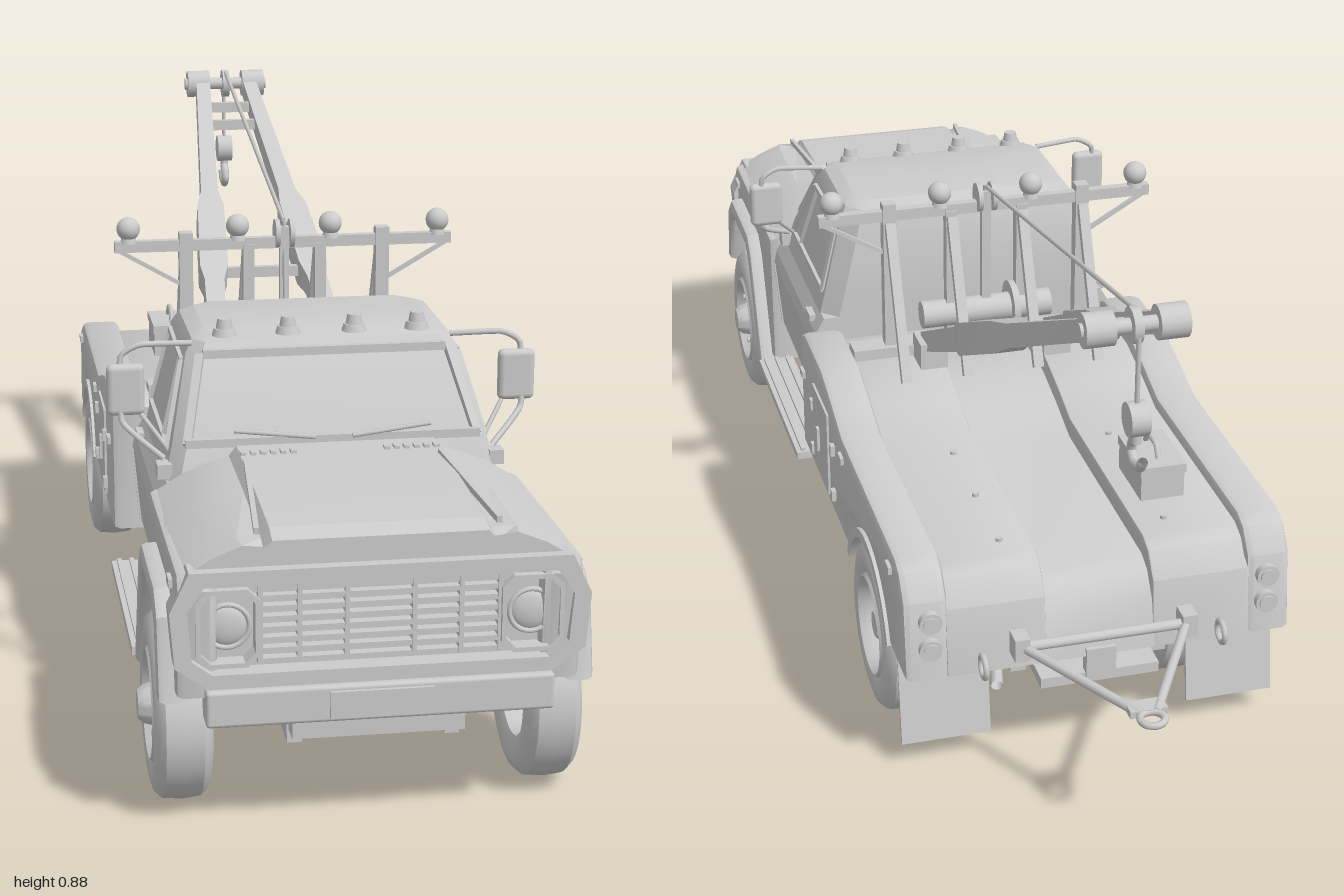
import * as THREE from 'three';
import { RoundedBoxGeometry } from 'three/addons/geometries/RoundedBoxGeometry.js';
import { toCreasedNormals } from 'three/addons/utils/BufferGeometryUtils.js';

const mat = new THREE.MeshStandardMaterial({ color: 0xcccccc, side: THREE.DoubleSide });
const V = (p) => new THREE.Vector3(...p);
const SIDES = [-1, 1];

export function createModel() {
  const root = new THREE.Group();
  root.name = 'towTruck';

  const add = (name, geo, pos = [0, 0, 0], parent = root) => {
    const m = new THREE.Mesh(geo, mat);
    m.name = name;
    m.position.set(...pos);
    parent.add(m);
    return m;
  };
  const box = (name, w, h, d, x, y, z, parent) => add(name, new THREE.BoxGeometry(w, h, d), [x, y, z], parent);
  // round rod or square beam between two points
  const rod = (name, a, b, r, seg = 10) => {
    const d = V(b).sub(V(a));
    const m = add(name, new THREE.CylinderGeometry(r, r, d.length(), seg), V(a).addScaledVector(d, 0.5).toArray());
    m.quaternion.setFromUnitVectors(new THREE.Vector3(0, 1, 0), d.normalize());
    return m;
  };
  const beam = (name, a, b, w, h) => {
    const m = add(name, new THREE.BoxGeometry(w, h, V(a).distanceTo(V(b))), V(a).lerp(V(b), 0.5).toArray());
    m.lookAt(V(b));
    return m;
  };
  const tube = (name, pts, r) => add(name, new THREE.TubeGeometry(new THREE.CatmullRomCurve3(pts.map(V), false, 'catmullrom', 0.2), 32, r, 8));
  const shapeOf = (pts) => new THREE.Shape(pts.map((p) => new THREE.Vector2(p[0], p[1])));
  // (z, y) outline extruded across x
  const slab = (name, shape, x0, x1, bevel = 0) => {
    const g = new THREE.ExtrudeGeometry(shape, { depth: x1 - x0 - 2 * bevel, bevelEnabled: bevel > 0, bevelSize: bevel, bevelThickness: bevel, bevelOffset: -bevel, bevelSegments: 2, curveSegments: 20 });
    g.rotateY(-Math.PI / 2).translate(x1 - bevel, 0, 0);
    return add(name, toCreasedNormals(g, 0.6));
  };
  // (x, y) outline extruded forward along z
  const plate = (name, shape, z, depth) => add(name, new THREE.ExtrudeGeometry(shape, { depth, bevelEnabled: false }), [0, 0, z]);
  // closed skin through rings of equal point count, capped, turned outward
  const loft = (name, rings, crease = 0.5) => {
    const n = rings[0].length, tris = [];
    for (let i = 0; i < rings.length - 1; i++) for (let j = 0; j < n; j++) {
      const k = (j + 1) % n, a = rings[i][j], b = rings[i][k], c = rings[i + 1][k], d = rings[i + 1][j];
      tris.push([a, b, c], [a, c, d]);
    }
    [rings[0], rings[rings.length - 1]].forEach((r, e) => {
      const c = [0, 1, 2].map((q) => r.reduce((s, p) => s + p[q], 0) / n);
      for (let j = 0; j < n; j++) tris.push(e ? [r[j], r[(j + 1) % n], c] : [r[(j + 1) % n], r[j], c]);
    });
    const vol = tris.reduce((s, t) => s + V(t[0]).dot(V(t[1]).cross(V(t[2]))), 0);
    const g = new THREE.BufferGeometry();
    g.setAttribute('position', new THREE.Float32BufferAttribute(tris.map((t) => (vol < 0 ? [t[0], t[2], t[1]] : t)).flat(2), 3));
    return add(name, toCreasedNormals(g, crease));
  };
  const mirrored = (half) => [...half, ...half.slice().reverse().map(([x, y]) => [-x, y])];
  const section = (half, z) => mirrored(half).map(([x, y]) => [x, y, z]);

  // Cab: lower body, then greenhouse narrowing to the roof
  const door = [[0.25, 0.15], [0.28, 0.24], [0.292, 0.37], [0.287, 0.395], [0.27, 0.425]];
  loft('cabLower', [0.17, 0.6].map((z) => section(door, z)), 0.15);
  const cabRing = (y, w, zf, zb) => [[-w, zb + 0.03], [-w + 0.03, zb], [w - 0.03, zb], [w, zb + 0.03], [w, zf - 0.03], [w - 0.02, zf], [-w + 0.02, zf], [-w, zf - 0.03]].map(([x, z]) => [x, y, z]);
  loft('cabUpper', [[0.42, 0.272, 0.57, 0.17], [0.485, 0.256, 0.548, 0.17], [0.605, 0.225, 0.462, 0.182], [0.626, 0.213, 0.445, 0.192], [0.637, 0.19, 0.41, 0.215]].map((a) => cabRing(...a)), 0.35);
  beam('windshieldHeader', [-0.2, 0.611, 0.462], [0.2, 0.611, 0.462], 0.012, 0.014);
  beam('cowl', [-0.24, 0.488, 0.552], [0.24, 0.488, 0.552], 0.012, 0.014);
  for (const s of SIDES) {
    const P = (y, z) => [s * (0.256 - (y - 0.485) * 0.258), y, z];
    beam('windshieldPillar', [s * 0.236, 0.485, 0.55], [s * 0.205, 0.61, 0.462], 0.014, 0.01);
    const win = [P(0.465, 0.49), P(0.59, 0.42), P(0.595, 0.225), P(0.465, 0.215)];
    win.forEach((p, i) => beam('doorWindowFrame', p, win[(i + 1) % 4], 0.01, 0.01));
    beam('ventWindowBar', P(0.465, 0.43), P(0.592, 0.4), 0.008, 0.008);
    box('doorHandle', 0.012, 0.012, 0.04, s * 0.284, 0.41, 0.23);
    for (const z of [0.19, 0.56]) beam('doorSeam', [s * 0.281, 0.24, z], [s * 0.293, 0.37, z], 0.004, 0.004);
    rod('wiper', [s * 0.03, 0.493, 0.56], [s * 0.16, 0.505, 0.548], 0.004, 6);
    // mirrors on looped brackets
    add('mirror', new RoundedBoxGeometry(0.062, 0.086, 0.022, 2, 0.01), [s * 0.325, 0.552, 0.445]);
    tube('mirrorBracket', [[s * 0.215, 0.622, 0.43], [s * 0.3, 0.625, 0.44], [s * 0.332, 0.605, 0.44], [s * 0.332, 0.5, 0.455], [s * 0.27, 0.455, 0.52]], 0.005);
    rod('mirrorBrace', [s * 0.3, 0.51, 0.45], [s * 0.255, 0.455, 0.5], 0.004, 6);
    box('mirrorFoot', 0.024, 0.024, 0.03, s * 0.272, 0.44, 0.53);
    // running board with ribs and hangers
    box('runningBoard', 0.07, 0.014, 0.41, s * 0.297, 0.147, 0.365);
    for (const x of [0.275, 0.297, 0.319]) box('runningBoardRib', 0.008, 0.006, 0.4, s * x, 0.157, 0.365);
    for (const z of [0.22, 0.5]) box('runningBoardHanger', 0.16, 0.012, 0.02, s * 0.2, 0.145, z);
  }
  for (const x of [-0.16, -0.055, 0.055, 0.16]) {
    add('roofLightBase', new THREE.CylinderGeometry(0.017, 0.021, 0.012, 14), [x, 0.638, 0.425]);
    add('roofLight', new THREE.CylinderGeometry(0.011, 0.014, 0.016, 14), [x, 0.652, 0.425]);
  }

  // Hood and fenders
  const hood = (w, t) => [[w, 0.39], [w + 0.005, 0.42], [w - 0.035, 0.445], [w - 0.08, 0.463], [0.172, t - 0.016], [0.16, t]];
  loft('hood', [[0.57, 0.282, 0.487], [0.75, 0.29, 0.486], [0.94, 0.288, 0.478], [0.972, 0.283, 0.468]].map(([z, w, t]) => section(hood(w, t), z)), 0.2);
  for (const s of SIDES) {
    beam('hoodRidge', [s * 0.155, 0.488, 0.65], [s * 0.18, 0.476, 0.95], 0.008, 0.01);
    for (let i = 0; i < 6; i++) box('hoodVent', 0.009, 0.005, 0.016, s * (0.075 + i * 0.016), 0.489, 0.615);
    const arch = [[0.94, 0.22], [0.915, 0.32], [0.885, 0.345], [0.715, 0.345], [0.69, 0.32], [0.61, 0.14]];
    const fender = shapeOf([[0.57, 0.15], [0.57, 0.42], [0.97, 0.425], [0.985, 0.4], [0.97, 0.23], ...arch]);
    const a = s < 0 ? -0.302 : 0.24;
    slab('frontFender', fender, a, a + 0.062, 0.012);
    const outer = [[0.575, 0.135], [0.665, 0.345], [0.7, 0.378], [0.895, 0.378], [0.935, 0.345], [0.962, 0.22]];
    const b = s < 0 ? -0.328 : 0.283;
    slab('fenderFlare', shapeOf([...outer, ...arch]), b, b + 0.045, 0.01);
  }
  box('engineBay', 0.38, 0.2, 0.36, 0, 0.3, 0.77);

  // Nose: framed grille, headlights, bumper
  const nose = shapeOf(mirrored([[0.255, 0.25], [0.305, 0.285], [0.312, 0.37], [0.283, 0.43]]));
  nose.holes.push(shapeOf(mirrored([[0.25, 0.272], [0.28, 0.295], [0.286, 0.37], [0.262, 0.407]])));
  plate('noseFrame', nose, 0.945, 0.045);
  plate('grilleBack', shapeOf(mirrored([[0.25, 0.265], [0.288, 0.29], [0.292, 0.37], [0.265, 0.412]])), 0.945, 0.012);
  for (let i = 0; i < 8; i++) box('grilleBar', 0.36, 0.008, 0.016, 0, 0.285 + i * 0.0162, 0.968);
  for (const x of [-0.178, -0.12, -0.05, 0.05, 0.12, 0.178]) box('grilleUpright', 0.007, 0.122, 0.02, x, 0.342, 0.968);
  const lens = new THREE.SphereGeometry(0.032, 20, 8, 0, Math.PI * 2, 0, Math.PI / 2).rotateX(Math.PI / 2).scale(1, 1, 0.35);
  for (const s of SIDES) {
    const oct = (w, h, c) => [[-w, c - h], [c - w, -h], [w - c, -h], [w, c - h], [w, h - c], [w - c, h], [c - w, h], [-w, h - c]].map(([x, y]) => [x + s * 0.226, y + 0.34]);
    const bezel = shapeOf(oct(0.047, 0.06, 0.018));
    bezel.holes.push(shapeOf(oct(0.04, 0.053, 0.015)));
    plate('headlightBezel', bezel, 0.955, 0.03);
    add('headlightRing', new THREE.TorusGeometry(0.033, 0.004, 8, 24), [s * 0.226, 0.34, 0.97]);
    add('headlight', lens, [s * 0.226, 0.34, 0.965]);
    box('sideMarker', 0.012, 0.014, 0.03, s * 0.302, 0.4, 0.93);
  }
  add('frontBumper', new RoundedBoxGeometry(0.52, 0.057, 0.05, 2, 0.006), [0, 0.218, 0.968]);
  box('frontPlate', 0.155, 0.042, 0.008, 0, 0.218, 0.995);
  box('bumperBracket', 0.26, 0.036, 0.08, 0, 0.174, 0.93);

  // Wheels: lathed tyre and dished rim, outer face toward +y of the lathe
  const lathe = (pts, n = 32) => toCreasedNormals(new THREE.LatheGeometry(pts.map((p) => new THREE.Vector2(...p)), n), 0.6).rotateZ(-Math.PI / 2);
  const tyre = lathe([[0.083, -0.036], [0.095, -0.042], [0.115, -0.045], [0.134, -0.04], [0.144, -0.029], [0.147, 0], [0.144, 0.029], [0.134, 0.04], [0.115, 0.045], [0.095, 0.042], [0.083, 0.036]], 40);
  const rim = (d) => lathe([[0.083, -0.036], [0.078, -0.01], [0.078, 0.02], [0.09, 0.04], [0.084, 0.045], [0.074, 0.03], [0.068, d], [0.036, d + 0.006], [0.03, d + 0.03], [0.022, d + 0.04], [0, d + 0.04]]);
  const wheel = (name, x, z, s, dish) => {
    const g = new THREE.Group();
    g.name = name;
    g.position.set(s * x, 0.147, z);
    if (s < 0) g.rotation.y = Math.PI;
    root.add(g);
    add('tyre', tyre, [0, 0, 0], g);
    add('rim', rim(dish), [0, 0, 0], g);
    for (let i = 0; i < 8; i++) {
      const t = (i * Math.PI) / 4;
      add('wheelNut', new THREE.CylinderGeometry(0.006, 0.006, 0.016, 6).rotateZ(Math.PI / 2), [dish + 0.01, 0.05 * Math.cos(t), 0.05 * Math.sin(t)], g);
    }
  };
  for (const s of SIDES) {
    wheel('frontWheel', 0.283, 0.786, s, 0.02);
    wheel('rearOuterWheel', 0.283, -0.453, s, -0.005);
    wheel('rearInnerWheel', 0.188, -0.453, s, -0.03);
  }

  // Chassis
  for (const s of SIDES) {
    box('frameRail', 0.026, 0.036, 1.58, s * 0.12, 0.165, 0.14);
    for (const z of [0.786, -0.453]) box('leafSpring', 0.022, 0.014, 0.28, s * 0.12, 0.138, z);
    for (const z of [0.04, -0.15]) box('bedMount', 0.03, 0.05, 0.04, s * 0.12, 0.195, z);
  }
  for (const z of [0.9, 0.55, 0.14, -0.2, -0.62]) box('crossMember', 0.24, 0.025, 0.03, 0, 0.165, z);
  for (const z of [0.786, -0.453]) rod('axle', [-0.29, 0.147, z], [0.29, 0.147, z], 0.014, 14);
  add('differential', new THREE.SphereGeometry(0.042, 16, 12), [0, 0.147, -0.453]);
  add('frontDifferential', new THREE.SphereGeometry(0.03, 16, 12).scale(1.6, 0.9, 1), [0, 0.147, 0.786]);
  rod('driveShaft', [0, 0.17, 0.5], [0, 0.15, -0.45], 0.012);
  box('gearbox', 0.1, 0.07, 0.26, 0, 0.175, 0.56);
  tube('exhaust', [[0.06, 0.15, 0.6], [0.07, 0.15, 0.1], [0.07, 0.16, -0.3], [0.12, 0.19, -0.5], [0.17, 0.16, -0.7]], 0.01);

  // Bed: outer rails, inner decks and centre channel share one outline with a wheel arch
  const bedShape = (drop, r) => {
    const s = new THREE.Shape();
    s.moveTo(0.12, 0.2);
    for (const [z, y] of [[0.12, 0.425], [0.09, 0.437], [-0.06, 0.437], [-0.15, 0.415], [-0.23, 0.39], [-0.64, 0.388], [-0.67, 0.375], [-0.7, 0.335], [-0.715, 0.2]]) s.lineTo(z, y - (y > 0.3 ? drop : 0));
    s.lineTo(-0.453 - r, 0.2);
    s.absarc(-0.453, 0.147, Math.hypot(r, 0.053), Math.PI - Math.atan2(0.053, r), Math.atan2(0.053, r), true);
    s.lineTo(0.12, 0.2);
    return s;
  };
  for (const s of SIDES) {
    const span = (a, b) => (s > 0 ? [a, b] : [-b, -a]);
    slab('bedSide', bedShape(0, 0.15), ...span(0.25, 0.325), 0.012);
    slab('bedDeck', bedShape(0.02, 0.15), ...span(0.09, 0.255), 0.004);
    const lip = new THREE.Shape().absarc(0, 0, 0.166, 0.35, Math.PI - 0.35, false);
    lip.absarc(0, 0, 0.15, Math.PI - 0.35, 0.35, true);
    slab('wheelArchLip', lip, ...span(0.315, 0.33)).position.set(0, 0.147, -0.453);
    // side locker door, catches and marker lights
    box('lockerDoor', 0.006, 0.16, 0.13, s * 0.326, 0.305, -0.07);
    box('lockerHandle', 0.006, 0.045, 0.012, s * 0.331, 0.3, -0.06);
    for (const y of [0.25, 0.34]) for (const z of [0, -0.18]) box('lockerHinge', 0.008, 0.02, 0.014, s * 0.329, y, z);
    for (const z of [0.09, -0.25, -0.62]) box('bedMarker', 0.008, 0.013, 0.026, s * 0.327, 0.36, z);
    // tail lights, mud flap, tow hook
    for (const y of [0.255, 0.305]) for (const [r, d] of [[0.019, 0.012], [0.013, 0.018]]) add('tailLight', new THREE.CylinderGeometry(r, r, d, 18).rotateX(Math.PI / 2), [s * 0.282, y, -0.713]);
    beam('mudFlap', [s * 0.245, 0.21, -0.635], [s * 0.245, 0.045, -0.66], 0.15, 0.006);
    add('towEye', new THREE.TorusGeometry(0.018, 0.005, 8, 16).rotateY(Math.PI / 2), [s * 0.2, 0.22, -0.73]);
    for (const z of [-0.3, -0.45, -0.6]) add('deckBolt', new THREE.CylinderGeometry(0.006, 0.006, 0.006, 8), [s * 0.14, 0.372, z]);
  }
  slab('bedChannel', bedShape(0.055, 0.15), -0.092, 0.092);
  box('rearHitchPlate', 0.2, 0.018, 0.09, 0, 0.16, -0.67);
  box('rearHitchPost', 0.05, 0.06, 0.02, 0, 0.185, -0.71);

  // Tow bar: A-frame ending in a ring
  rod('towBarCross', [-0.15, 0.25, -0.735], [0.15, 0.25, -0.735], 0.009);
  for (const s of SIDES) {
    rod('towBarLeg', [s * 0.14, 0.25, -0.73], [s * 0.012, 0.25, -0.96], 0.008);
    box('towBarLug', 0.025, 0.04, 0.035, s * 0.14, 0.25, -0.73);
  }
  box('towBarHead', 0.06, 0.012, 0.03, 0, 0.25, -0.945);
  add('towRing', new THREE.TorusGeometry(0.019, 0.006, 8, 20).rotateX(Math.PI / 2), [0, 0.25, -0.975]);

  // Toolbox
  box('toolbox', 0.075, 0.045, 0.12, -0.158, 0.393, -0.48);
  box('toolboxLid', 0.079, 0.016, 0.126, -0.158, 0.424, -0.48);
  tube('toolboxHandle', [[-0.158, 0.43, -0.445], [-0.158, 0.452, -0.46], [-0.158, 0.452, -0.5], [-0.158, 0.43, -0.515]], 0.005);

  // Mast with light bar
  box('lightBar', 0.61, 0.02, 0.016, 0, 0.692, 0.012);
  box('mastBase', 0.5, 0.02, 0.045, 0, 0.43, 0.012);
  for (const s of SIDES) {
    box('mastPost', 0.024, 0.29, 0.024, s * 0.178, 0.57, 0.012);
    box('mastInnerPost', 0.02, 0.26, 0.022, s * 0.065, 0.56, 0.012);
    beam('lightBarBrace', [s * 0.3, 0.686, 0.012], [s * 0.178, 0.615, 0.012], 0.007, 0.007);
    for (const x of [0.178, 0.065]) beam('mastStrut', [s * x, 0.68, 0], [s * x, 0.42, -0.115], 0.018, 0.014);
    for (const x of [0.28, 0.084]) {
      add('beacon', new THREE.SphereGeometry(0.021, 16, 12), [s * x, 0.724, 0.012]);
      add('beaconBase', new THREE.CylinderGeometry(0.012, 0.015, 0.012, 12), [s * x, 0.704, 0.012]);
    }
    add('sheaveCheek', new THREE.CylinderGeometry(0.026, 0.026, 0.008, 16).rotateZ(Math.PI / 2), [s * 0.013, 0.708, 0.012]);
    // winch flanges
    add('winchFlange', new THREE.CylinderGeometry(0.046, 0.046, 0.012, 20).rotateZ(Math.PI / 2), [s * 0.05, 0.488, 0.012]);
  }
  rod('winchDrum', [-0.12, 0.488, 0.012], [0.12, 0.488, 0.012], 0.025, 18);
  box('sheavePost', 0.016, 0.28, 0.016, 0, 0.58, 0.012);

  // Boom: two converging arms, thicker along the lower half
  const base = [0.115, 0.455, -0.03], tip = [0.048, 0.845, -0.83];
  const along = (t, s) => [s * THREE.MathUtils.lerp(base[0], tip[0], t), THREE.MathUtils.lerp(base[1], tip[1], t), THREE.MathUtils.lerp(base[2], tip[2], t)];
  for (const s of SIDES) {
    loft('boomArm', [[0, 0.015, 0.018], [0.25, 0.019, 0.022], [0.29, 0.027, 0.028], [0.5, 0.026, 0.027], [0.56, 0.017, 0.02], [1, 0.014, 0.017]].map(([t, w, h]) => {
      const [x, y, z] = along(t, s);
      return [[-w, -h], [w, -h], [w, h], [-w, h]].map(([a, b]) => [x + a, y + b * 0.9, z + b * 0.44]);
    }), 0.2);
    rod('boomSleeve', [s * 0.034, 0.848, -0.835], [s * 0.08, 0.848, -0.835], 0.027, 18);
    box('boomFoot', 0.05, 0.05, 0.06, s * 0.115, 0.44, -0.035);
  }
  for (const t of [0.3, 0.84, 0.91]) beam('boomBrace', along(t, -1), along(t, 1), 0.014, 0.02);
  rod('boomPin', [-0.085, 0.848, -0.835], [0.085, 0.848, -0.835], 0.012, 14);
  add('boomPulley', new THREE.CylinderGeometry(0.028, 0.028, 0.014, 20).rotateZ(Math.PI / 2), [0, 0.848, -0.835]);

  // Cable, block and hook
  rod('cableUpper', [0, 0.73, 0.005], [0, 0.872, -0.825], 0.004, 6);
  rod('cableLower', [0, 0.5, 0.035], [0, 0.73, 0.012], 0.004, 6);
  rod('cableDrop', [0, 0.85, -0.858], [0, 0.72, -0.858], 0.004, 6);
  add('hookBlock', new THREE.CylinderGeometry(0.027, 0.027, 0.03, 18).rotateZ(Math.PI / 2), [0, 0.705, -0.858]);
  rod('hookShank', [0, 0.69, -0.858], [0, 0.664, -0.858], 0.008);
  tube('hook', [[0, 0.67, -0.858], [0, 0.658, -0.842], [0, 0.643, -0.838], [0, 0.63, -0.855], [0, 0.634, -0.88], [0, 0.65, -0.893]], 0.008);

  return root;
}
